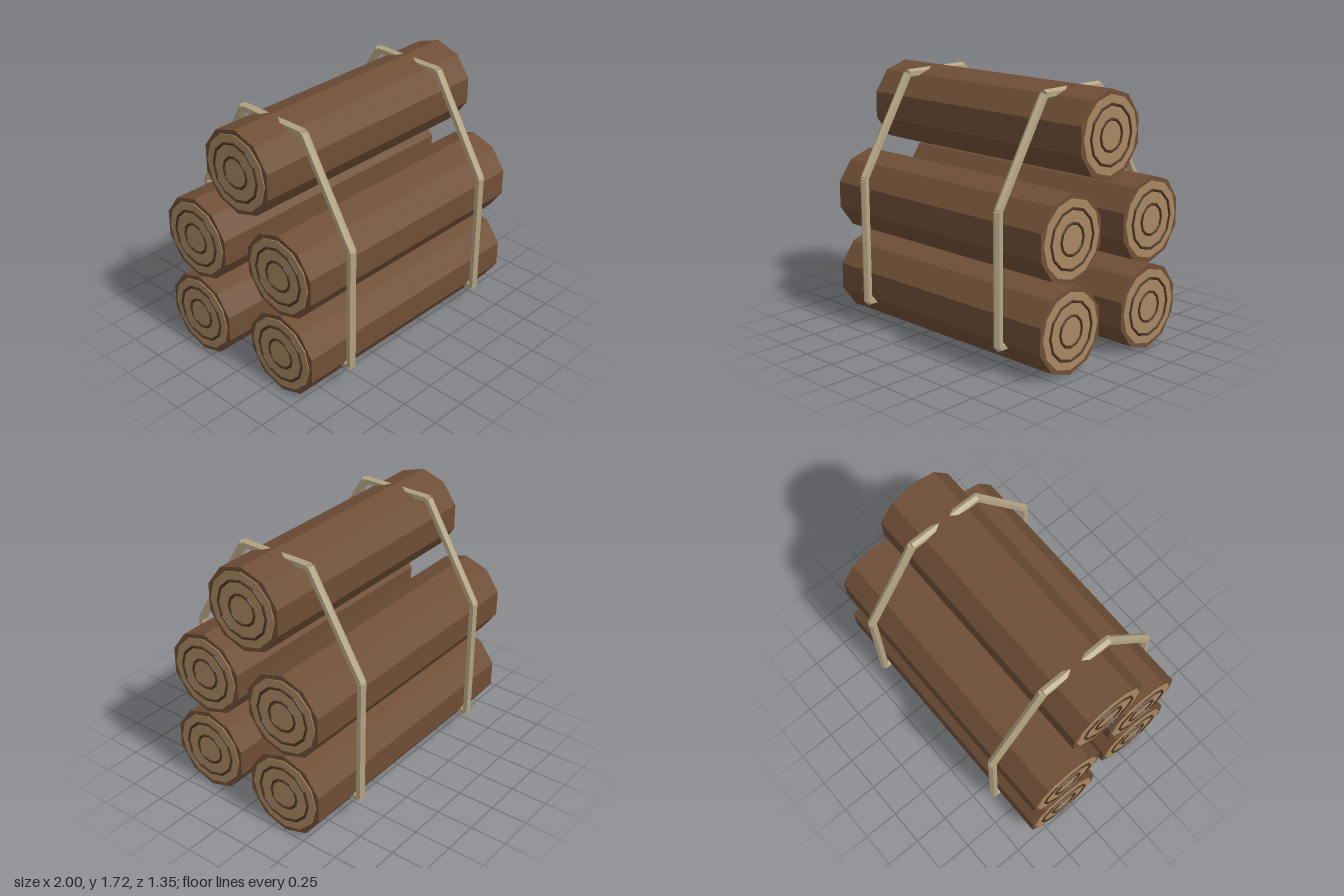
import * as THREE from 'three';

const mat = (name, color) => {
  const m = new THREE.MeshStandardMaterial({ color, flatShading: true });
  m.name = name;
  return m;
};

export function createModel() {
  const bark = mat('bark', 0x6f4e36);
  const wood = mat('cut wood', 0xa88760);
  const ringDark = mat('growth ring', 0x4a3424);
  const cord = mat('cord', 0xb5a584);

  const model = new THREE.Group();
  model.name = 'logBundle';

  const add = (parent, name, geometry, material) => {
    const mesh = new THREE.Mesh(geometry, material);
    mesh.name = name;
    parent.add(mesh);
    return mesh;
  };

  // Ten-sided log along x, with a cut face and two growth rings at each end
  const R = 0.283;
  function makeLog(name, y, z, half) {
    const log = new THREE.Group();
    log.name = name;
    log.position.set(0, y, z);
    add(log, 'bark', new THREE.CylinderGeometry(R, R, 2 * half, 10, 1, false, Math.PI / 2)
      .rotateZ(Math.PI / 2), bark);
    for (const side of [-1, 1]) {
      const face = add(log, 'cutFace', new THREE.CylinderGeometry(0.25, 0.25, 0.012, 12)
        .rotateZ(Math.PI / 2), wood);
      face.position.x = side * half;
      for (const r of [0.19, 0.1]) {
        const ring = add(log, 'growthRing', new THREE.TorusGeometry(r, 0.009, 6, 12)
          .rotateY(Math.PI / 2), ringDark);
        ring.position.x = side * (half + 0.006);
      }
    }
    model.add(log);
  }

  const rows = [['lower', 0.284], ['middle', 0.862]];
  for (const [row, y] of rows) {
    makeLog(row + 'FrontLog', y, 0.342, 0.923);
    makeLog(row + 'BackLog', y, -0.342, 0.984);
  }
  makeLog('topLog', 1.44, 0, 0.923);

  // Six-sided cord pieces around the stack, as [z, y] corners
  const corners = [
    [0.647, 0.178], [0.647, 1.03], [0.255, 1.68],
    [-0.255, 1.68], [-0.647, 1.03], [-0.647, 0.178],
  ];
  for (const x of [-0.612, 0.612]) {
    const tie = new THREE.Group();
    tie.name = x > 0 ? 'leftTie' : 'rightTie';
    corners.forEach(([z0, y0], i) => {
      const [z1, y1] = corners[(i + 1) % corners.length];
      const dz = z1 - z0, dy = y1 - y0;
      const piece = add(tie, 'cordPiece',
        new THREE.CylinderGeometry(0.03, 0.03, Math.hypot(dz, dy), 6), cord);
      piece.position.set(x, (y0 + y1) / 2, (z0 + z1) / 2);
      piece.rotation.x = Math.atan2(dz, dy);
    });
    model.add(tie);
  }
  return model;
}
